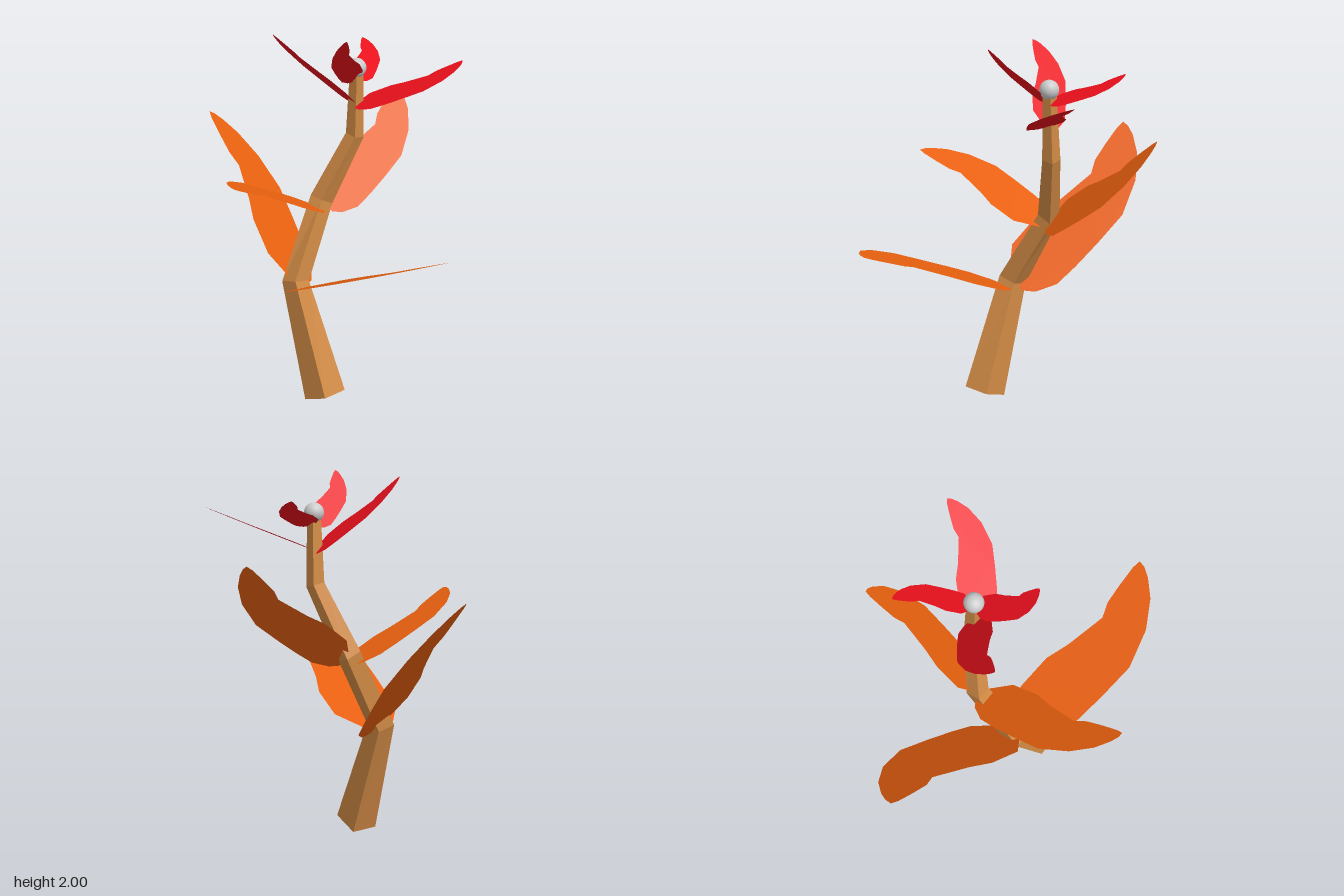
import * as THREE from 'three';

const V = (a) => new THREE.Vector3(...a);

// Sickle-shaped blade: [along, across], hooked at the tip
const OUTLINE = [
  [0, -0.08], [0.045, -0.14], [0.157, -0.195], [0.3, -0.196], [0.49, -0.185], [0.697, -0.165],
  [0.9, -0.067], [1.03, 0.05], [1.095, 0.15], [1.118, 0.21], [1.118, 0.25], [1.07, 0.25],
  [0.95, 0.225], [0.837, 0.196], [0.759, 0.15], [0.517, 0.165], [0.371, 0.19], [0.152, 0.165],
  [0.045, 0.07], [0, 0.03],
];
const bladeShape = new THREE.Shape(OUTLINE.map(([u, v]) => new THREE.Vector2(u, v)));

// Flat blade with its base point, its direction of growth, the direction of its hook and its size
function blade(name, material, base, along, across, size) {
  const a = V(along).normalize();
  const b = V(across).addScaledVector(a, -V(across).dot(a)).normalize();
  const geometry = new THREE.ShapeGeometry(bladeShape);
  geometry.scale(size, size, 1);
  geometry.applyMatrix4(
    new THREE.Matrix4().makeBasis(a, b, a.clone().cross(b)).setPosition(V(base)));
  const mesh = new THREE.Mesh(geometry, material);
  mesh.name = name;
  return mesh;
}

// Square stem: joints with centre and half width, each cut square to the bend
function stemGeometry() {
  const centres = [
    [-0.147, 0.032, 0.122], [-0.205, 0.64, -0.105], [0.01, 1.05, -0.2],
    [0.165, 1.42, -0.105], [0.166, 1.77, -0.09],
  ].map(V);
  const half = [0.077, 0.052, 0.042, 0.034, 0.026];
  const last = centres.length - 1;
  const geometry = new THREE.CylinderGeometry(1, 1, 1, 4, last, false, Math.PI / 4 + 0.29);
  const p = geometry.attributes.position;
  for (let i = 0; i < p.count; i++) {
    const k = Math.round((p.getY(i) + 0.5) * last);
    const c = centres[k];
    const before = centres[Math.max(k - 1, 0)], after = centres[Math.min(k + 1, last)];
    const t = after.clone().sub(before);
    const dx = p.getX(i) * half[k] * Math.SQRT2;
    const dz = p.getZ(i) * half[k] * Math.SQRT2;
    p.setXYZ(i, c.x + dx, c.y - (dx * t.x + dz * t.z) / t.y, c.z + dz);
  }
  geometry.computeVertexNormals();
  return geometry;
}

export function createModel() {
  const group = new THREE.Group();
  group.name = 'flower';

  const stemMaterial = new THREE.MeshStandardMaterial({ color: 0xd08a45, flatShading: true });
  const leafMaterial = new THREE.MeshStandardMaterial({ color: 0xe8600f, side: THREE.DoubleSide });
  const petalMaterial = new THREE.MeshStandardMaterial({ color: 0xe8101c, side: THREE.DoubleSide });
  const greyMaterial = new THREE.MeshStandardMaterial({ color: 0xcccccc });

  const stem = new THREE.Mesh(stemGeometry(), stemMaterial);
  stem.name = 'stem';
  group.add(stem);

  // Round centre of the blossom
  const centre = new THREE.Mesh(new THREE.SphereGeometry(0.052, 32, 16), greyMaterial);
  centre.name = 'blossomCentre';
  centre.position.set(0.165, 1.795, -0.088);
  group.add(centre);

  // Two large leaves at the lower joint, two smaller at the middle joint
  const leaves = [
    ['lowerFrontLeaf', [-0.17, 0.61, -0.06], [0, 0.4, 0.916], [1, 0, 0], 1],
    ['lowerBackLeaf', [-0.2, 0.63, -0.1], [0.09, 0.588, -0.804], [-0.85, 0.45, 0.234], 1.02],
    ['upperRightLeaf', [0, 1.0, -0.17], [-0.88, 0.419, 0.224], [0.202, -0.096, 0.975], 0.745],
    ['upperLeftLeaf', [0.02, 1.02, -0.19], [0.83, 0.54, -0.14], [-0.465, 0.533, -0.7], 0.745],
  ];
  for (const [name, ...rest] of leaves) group.add(blade(name, leafMaterial, ...rest));

  // Two long petals below the blossom centre, two short ones just under it
  const petals = [
    ['leftPetal', [0.155, 1.595, -0.08], [0.776, 0.326, 0.54], [0.498, 0.209, -0.842], 0.54],
    ['rightPetal', [0.155, 1.6, -0.08], [-0.618, 0.595, -0.51], [-0.367, 0.353, 0.859], 0.505],
    ['frontPetal', [0.16, 1.73, -0.08], [-0.658, 0.565, 0.497], [0.753, 0.494, 0.434], 0.356],
    ['backPetal', [0.17, 1.73, -0.09], [0.694, 0.302, -0.653], [-0.72, 0.291, -0.629], 0.361],
  ];
  for (const [name, ...rest] of petals) group.add(blade(name, petalMaterial, ...rest));

  return group;
}
